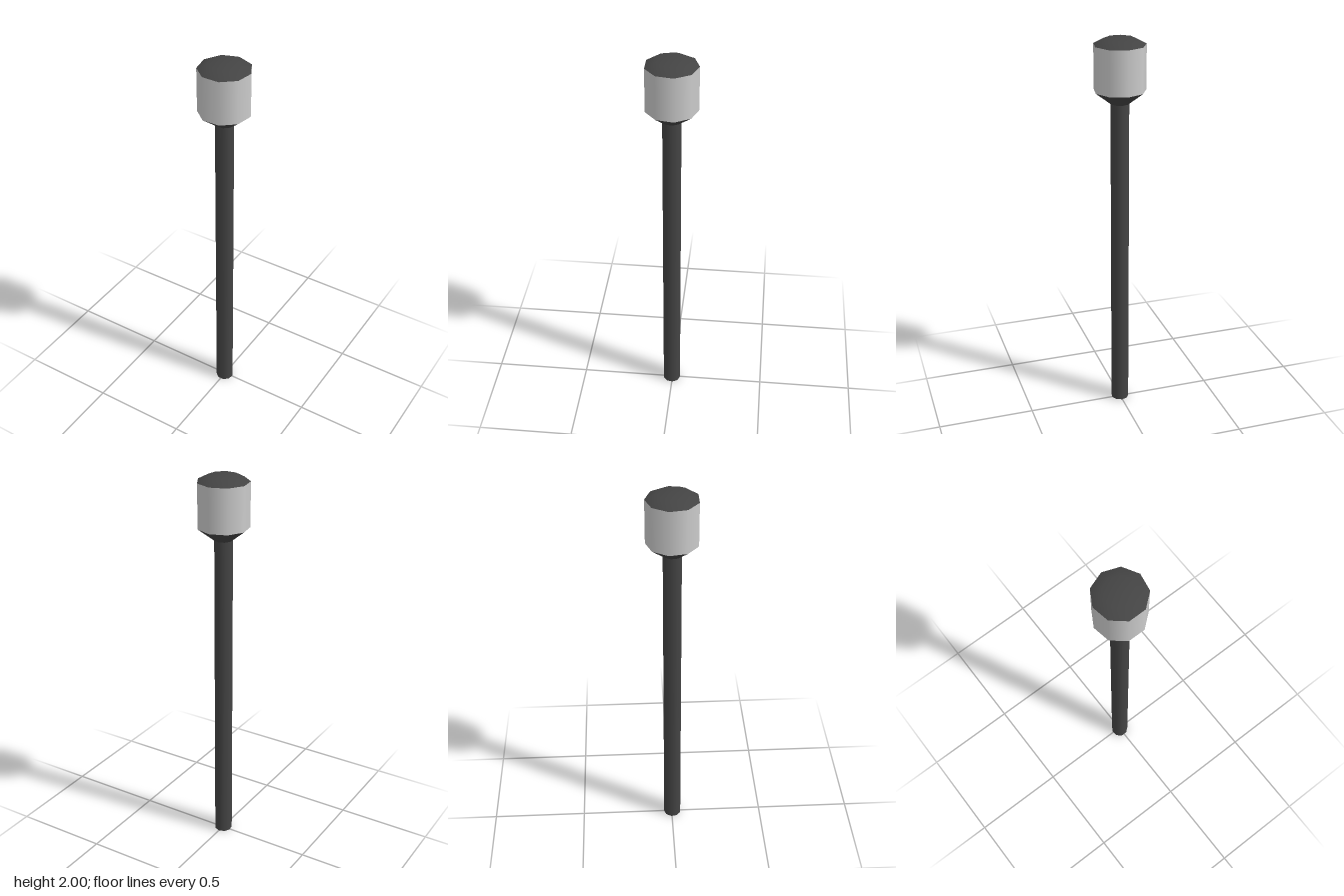
import * as THREE from 'three';

const SIDES = 9;

export function createModel() {
  const group = new THREE.Group();
  const dark = new THREE.MeshStandardMaterial({ color: 0x444444 });
  const light = new THREE.MeshStandardMaterial({ color: 0xcccccc });

  // Nine-sided turned part with one corner facing the back
  const turned = (name, profile, material) => {
    const points = profile.map(([r, y]) => new THREE.Vector2(r, y));
    const mesh = new THREE.Mesh(new THREE.LatheGeometry(points, SIDES, Math.PI), material);
    mesh.name = name;
    group.add(mesh);
  };

  // Pole with its closed foot
  const pole = new THREE.Mesh(
    new THREE.CylinderGeometry(0.047, 0.047, 1.685, SIDES, 1, false, Math.PI), dark);
  pole.name = 'pole';
  pole.position.y = 1.685 / 2;
  group.add(pole);

  // Lamp head: flared holder, pale shade, bevelled lid
  turned('lampHolder', [[0.047, 1.68], [0.131, 1.745]], dark);
  turned('lampShade', [[0.131, 1.745], [0.131, 1.972]], light);
  turned('lampLid', [[0.131, 1.972], [0.078, 2], [0, 2]], dark);

  // Centre the odd-sided outline in depth
  group.children.forEach((part) => { part.position.z = 0.004; });
  return group;
}
